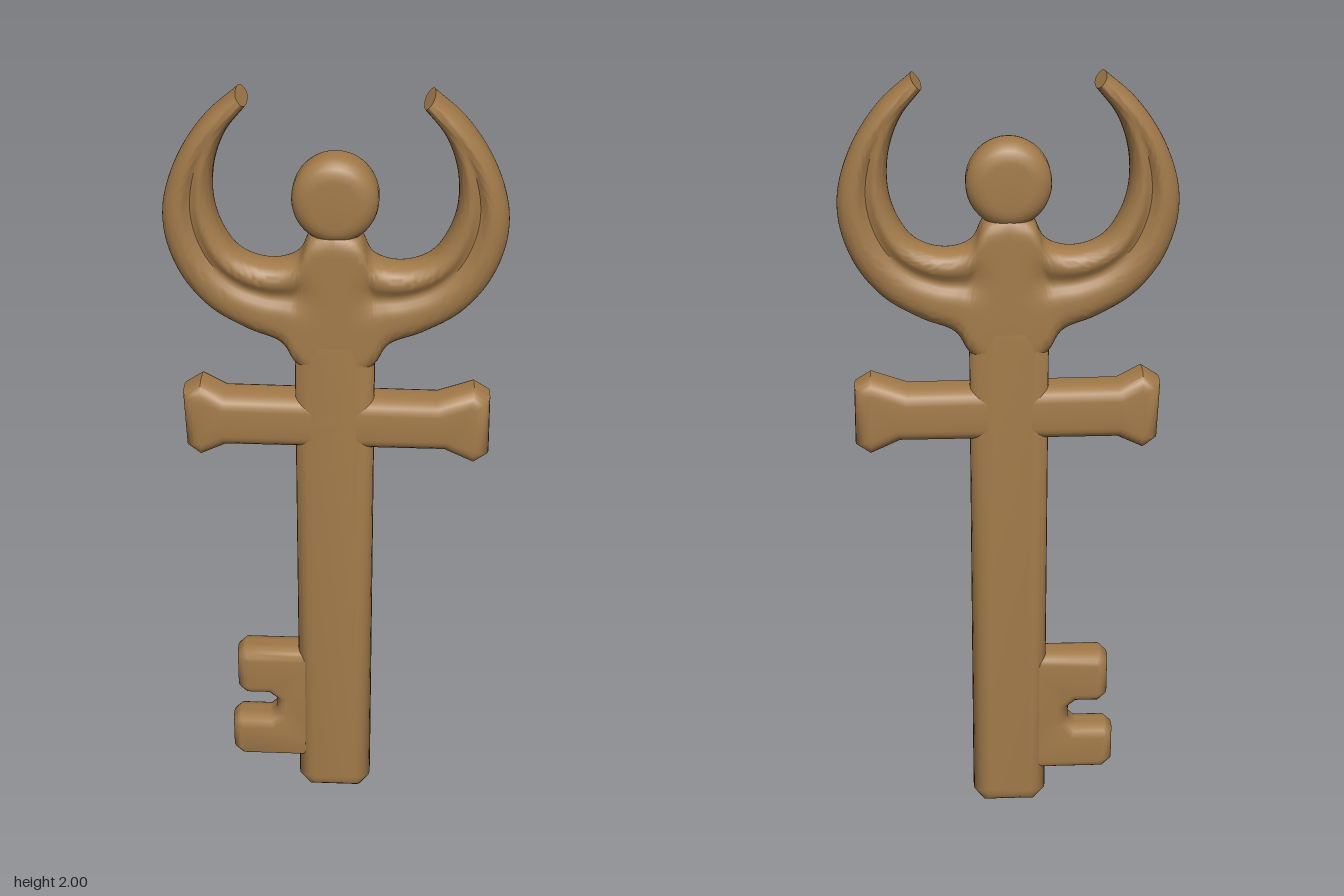
import * as THREE from 'three';
import { toCreasedNormals } from 'three/addons/utils/BufferGeometryUtils.js';

const HALF = 0.057; // half thickness of the key

// Flat outline with soft rounded rims, centred on z = 0
function plate(points, bevel, half = HALF) {
  const shape = new THREE.Shape(points.map(([x, y]) => new THREE.Vector2(x, y)));
  const thick = 0.04;
  const geo = new THREE.ExtrudeGeometry(shape, {
    depth: 2 * (half - thick), bevelEnabled: true, bevelSize: bevel,
    bevelOffset: -bevel, bevelThickness: thick, bevelSegments: 5,
  });
  geo.translate(0, 0, -(half - thick));
  return toCreasedNormals(geo, 0.9);
}

// Outer and inner edges of one horn, from the tip down to the middle
const OUTER = [[0.225, 2.0], [0.30, 1.935], [0.365, 1.84], [0.402, 1.73], [0.40, 1.64],
  [0.365, 1.545], [0.30, 1.465], [0.21, 1.41], [0.13, 1.375], [0.095, 1.32], [0, 1.24]];
const INNER = [[0.20, 1.97], [0.25, 1.905], [0.28, 1.82], [0.283, 1.73], [0.262, 1.66],
  [0.225, 1.608], [0.175, 1.585], [0.125, 1.585], [0.085, 1.605], [0.055, 1.66], [0, 1.68]];

// Horn lofted between its two edges, with a shallow groove along both faces
function horn(side) {
  const curve = (pts) => new THREE.CatmullRomCurve3(pts.map(([x, y]) => new THREE.Vector3(x, y, 0)));
  const outer = curve(OUTER), inner = curve(INNER);
  const rows = 60, ring = 56, pos = [], index = [];
  for (let i = 0; i <= rows; i++) {
    const t = i / rows;
    const o = outer.getPoint(t), n = inner.getPoint(t);
    const w = o.distanceTo(n) / 2, r = Math.min(w, 0.055);
    const fade = THREE.MathUtils.smoothstep(t, 0.08, 0.3) * (1 - THREE.MathUtils.smoothstep(t, 0.82, 0.98));
    for (let k = 0; k < ring; k++) {
      const a = (k / ring) * Math.PI * 2, v = Math.cos(a);
      const e = Math.min(1, (1 - Math.abs(v)) * w / r);
      const rim = Math.pow(Math.max(0, 1 - Math.pow(1 - e, 2.4)), 1 / 2.4);
      const groove = 0.018 * fade * Math.exp(-(((v + 0.12) / 0.22) ** 2));
      const p = n.clone().lerp(o, (v + 1) / 2);
      pos.push(side * p.x, p.y, Math.sign(Math.round(Math.sin(a) * 1e6)) * (HALF * rim - groove));
    }
  }
  const tri = (a, b, c) => (side > 0 ? index.push(a, b, c) : index.push(a, c, b));
  for (let i = 0; i < rows; i++) {
    for (let k = 0; k < ring; k++) {
      const a = i * ring + k, b = i * ring + ((k + 1) % ring);
      tri(a, b, a + ring);
      tri(b, b + ring, a + ring);
    }
  }
  // blunt tip
  for (let k = 1; k < ring - 1; k++) tri(0, k + 1, k);
  const geo = new THREE.BufferGeometry();
  geo.setAttribute('position', new THREE.Float32BufferAttribute(pos, 3));
  geo.setIndex(index);
  return toCreasedNormals(geo, 0.9);
}

export function createModel() {
  const bronze = new THREE.MeshStandardMaterial({ color: 0xa37b4a });
  bronze.name = 'bronze';
  const key = new THREE.Group();
  key.name = 'key';
  const add = (name, geo) => {
    const mesh = new THREE.Mesh(geo, bronze);
    mesh.name = name;
    key.add(mesh);
  };

  // Long shaft, with a tapered foot
  add('shaft', plate([[-0.07, 0], [0.07, 0], [0.096, 0.035], [0.096, 1.36], [0.06, 1.42],
    [-0.06, 1.42], [-0.098, 1.36], [-0.098, 0.035]], 0.042));

  // Crossbar with flared ends
  add('crossbar', plate([[-0.375, 1.235], [-0.37, 1.09], [-0.335, 1.062], [-0.27, 1.093],
    [0.27, 1.093], [0.345, 1.058], [0.382, 1.085], [0.38, 1.235], [0.34, 1.26],
    [0.25, 1.228], [-0.27, 1.232], [-0.33, 1.265]], 0.034));

  // Key bit with two teeth
  add('bit', plate([[0, 0.10], [-0.255, 0.10], [-0.28, 0.125], [-0.28, 0.215], [-0.26, 0.235],
    [-0.18, 0.235], [-0.16, 0.255], [-0.16, 0.295], [-0.18, 0.312], [-0.24, 0.312],
    [-0.263, 0.335], [-0.263, 0.44], [-0.242, 0.462], [0, 0.462]], 0.03, 0.05));

  // Crescent of two horns meeting in the middle
  add('leftHorn', horn(1));
  add('rightHorn', horn(-1));

  // Round knob between the horns
  const circle = Array.from({ length: 40 }, (_, i) => {
    const a = (i / 40) * Math.PI * 2;
    return [0.102 * Math.cos(a), 1.745 + 0.105 * Math.sin(a)];
  });
  add('knob', plate(circle, 0.045));

  return key;
}
